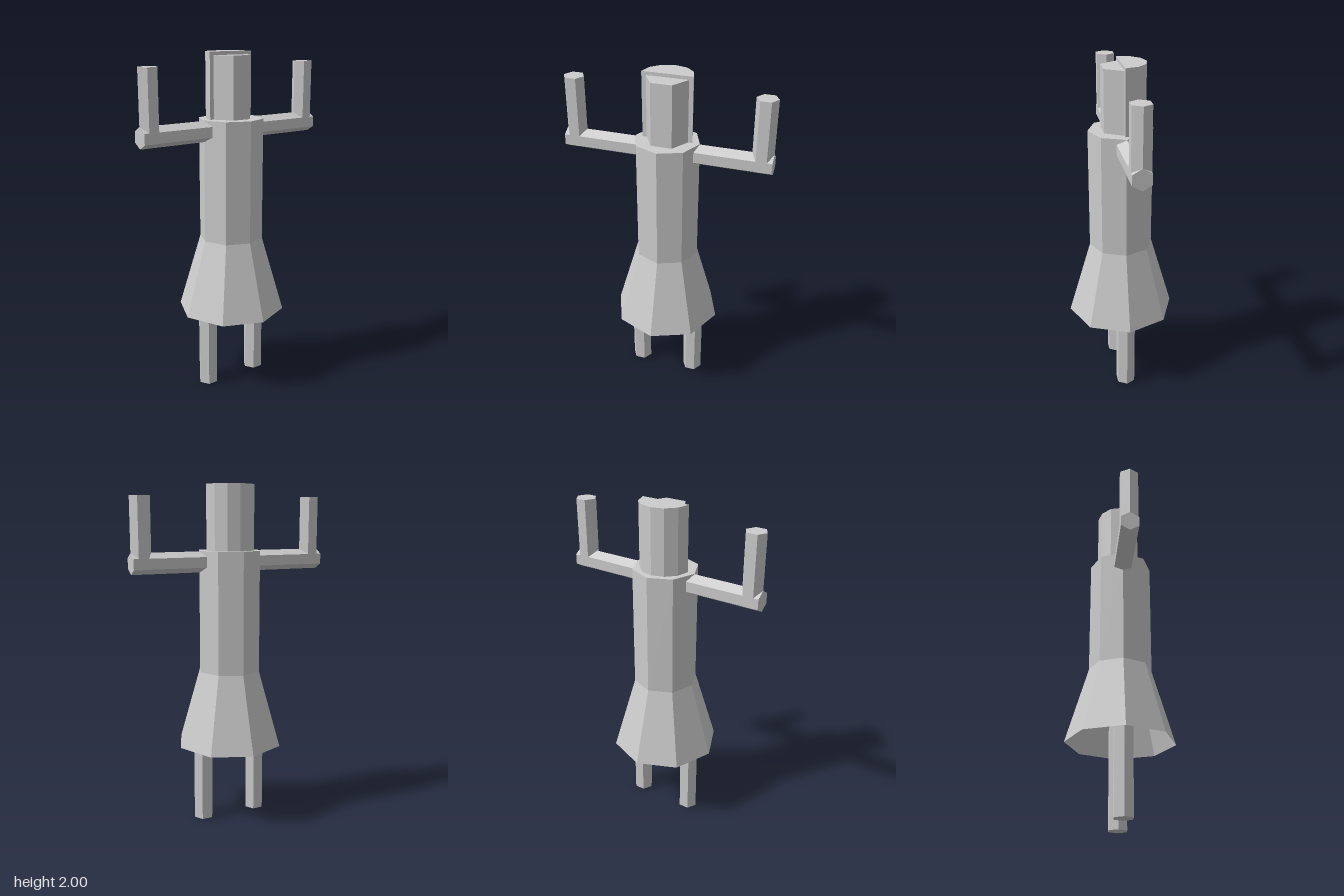
import * as THREE from 'three';

export function createModel() {
  const group = new THREE.Group();
  // double-sided because the skirt is open underneath
  const grey = new THREE.MeshStandardMaterial({ color: 0xcccccc, side: THREE.DoubleSide });
  grey.name = 'plain grey';

  function add(name, geometry) {
    const flat = geometry.index ? geometry.toNonIndexed() : geometry;
    flat.computeVertexNormals(); // faceted look
    const mesh = new THREE.Mesh(flat, grey);
    mesh.name = name;
    group.add(mesh);
    return mesh;
  }

  // six-sided bar with corners pointing to +x and -x
  const hexBar = (length) => new THREE.CylinderGeometry(0.06, 0.06, length, 6, 1, false, Math.PI / 6);

  // upright half prism on the z = 0 plane; dir -1 bulges to the back, 1 to the front
  function halfPrism(radius, sides, bottom, top, dir) {
    const points = [];
    for (let i = 0; i <= sides; i++) {
      const a = (i / sides) * Math.PI;
      points.push(new THREE.Vector2(Math.cos(a) * radius, -dir * Math.sin(a) * radius));
    }
    return new THREE.ExtrudeGeometry(new THREE.Shape(points), { depth: top - bottom, bevelEnabled: false })
      .rotateX(-Math.PI / 2).translate(0, bottom, 0);
  }

  // torso and open skirt
  add('torso', new THREE.CylinderGeometry(0.188, 0.188, 0.713, 8).translate(0, 1.2685, 0));
  add('skirt', new THREE.CylinderGeometry(0.188, 0.321, 0.452, 8, 1, true).translate(0, 0.686, 0));

  // head: hair behind, face in front
  add('hair', halfPrism(0.145, 6, 1.625, 2.0, -1));
  add('face', halfPrism(0.12, 3, 1.625, 1.98, 1));

  // limbs on both sides
  for (const [side, s] of [['left', 1], ['right', -1]]) {
    add(side + 'Leg', hexBar(0.61).translate(s * 0.175, 0.305, 0));
    add(side + 'UpperArm', hexBar(0.5).rotateZ(Math.PI / 2).translate(s * 0.35, 1.563, 0));
    add(side + 'Forearm', hexBar(0.4).translate(s * 0.54, 1.732, 0));
  }
  return group;
}
